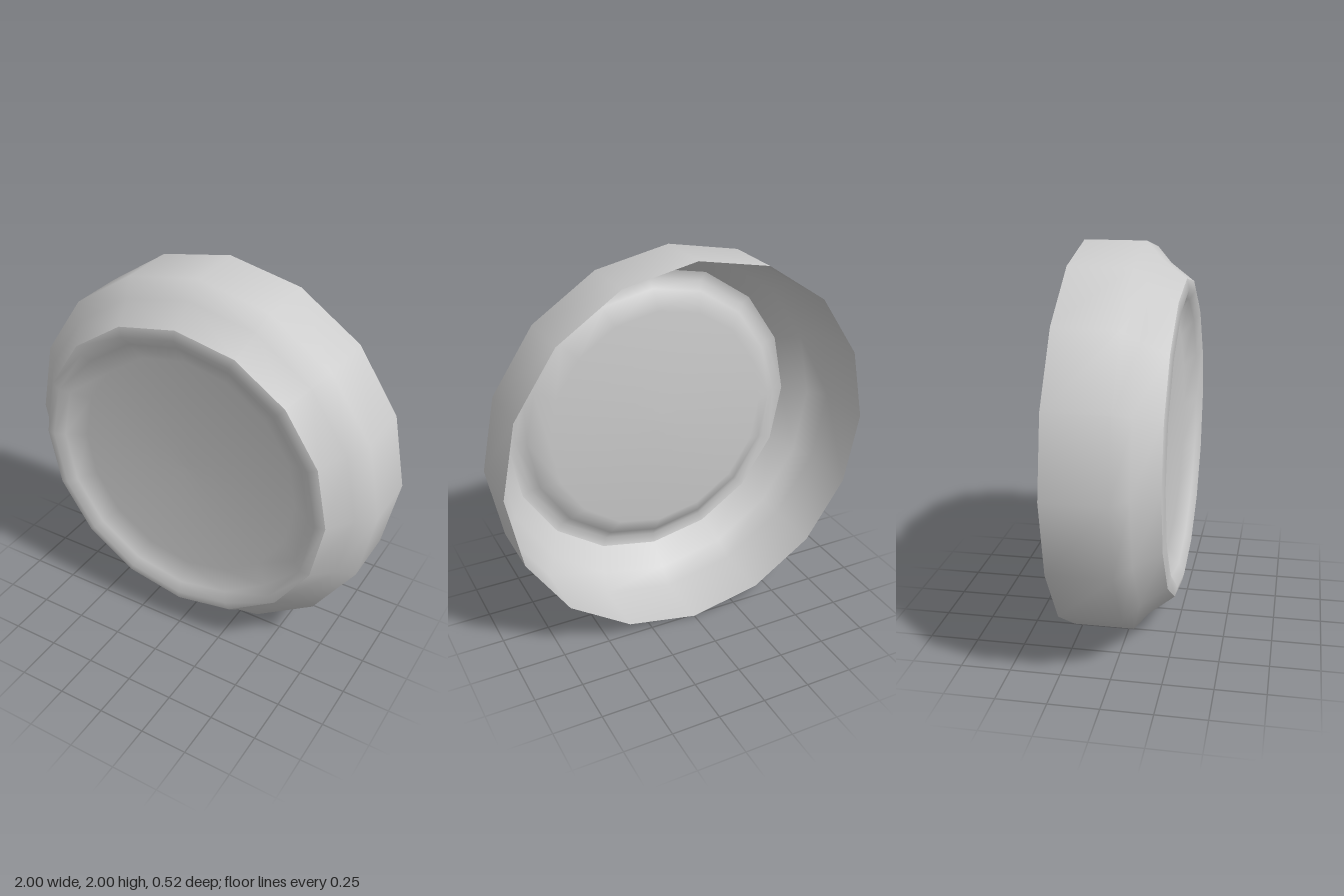
import * as THREE from 'three';

const SIDES = 16;

// Revolve [radius, z] points around the z axis, corners at top and sides
function revolve(name, profile) {
  const points = profile.map(([r, z]) => new THREE.Vector2(r, z));
  const geometry = new THREE.LatheGeometry(points, SIDES);
  geometry.rotateX(Math.PI / 2);
  const material = new THREE.MeshStandardMaterial({ color: 0xcccccc, side: THREE.DoubleSide });
  const mesh = new THREE.Mesh(geometry, material);
  mesh.name = name;
  mesh.position.y = 1;
  return mesh;
}

export function createModel() {
  const group = new THREE.Group();
  group.name = 'roundCap';

  // Thin outer wall, open at the back, with a two-step bevel to the front
  group.add(revolve('outerWall', [[1, -0.262], [1, 0.05], [0.914, 0.125], [0.82, 0.25]]));

  // Raised lip, then a steep slope down to the recessed face
  group.add(revolve('frontDish', [[0.82, 0.25], [0.77, 0.262], [0.72, 0.23], [0.62, 0.17], [0, 0.165]]));

  return group;
}
